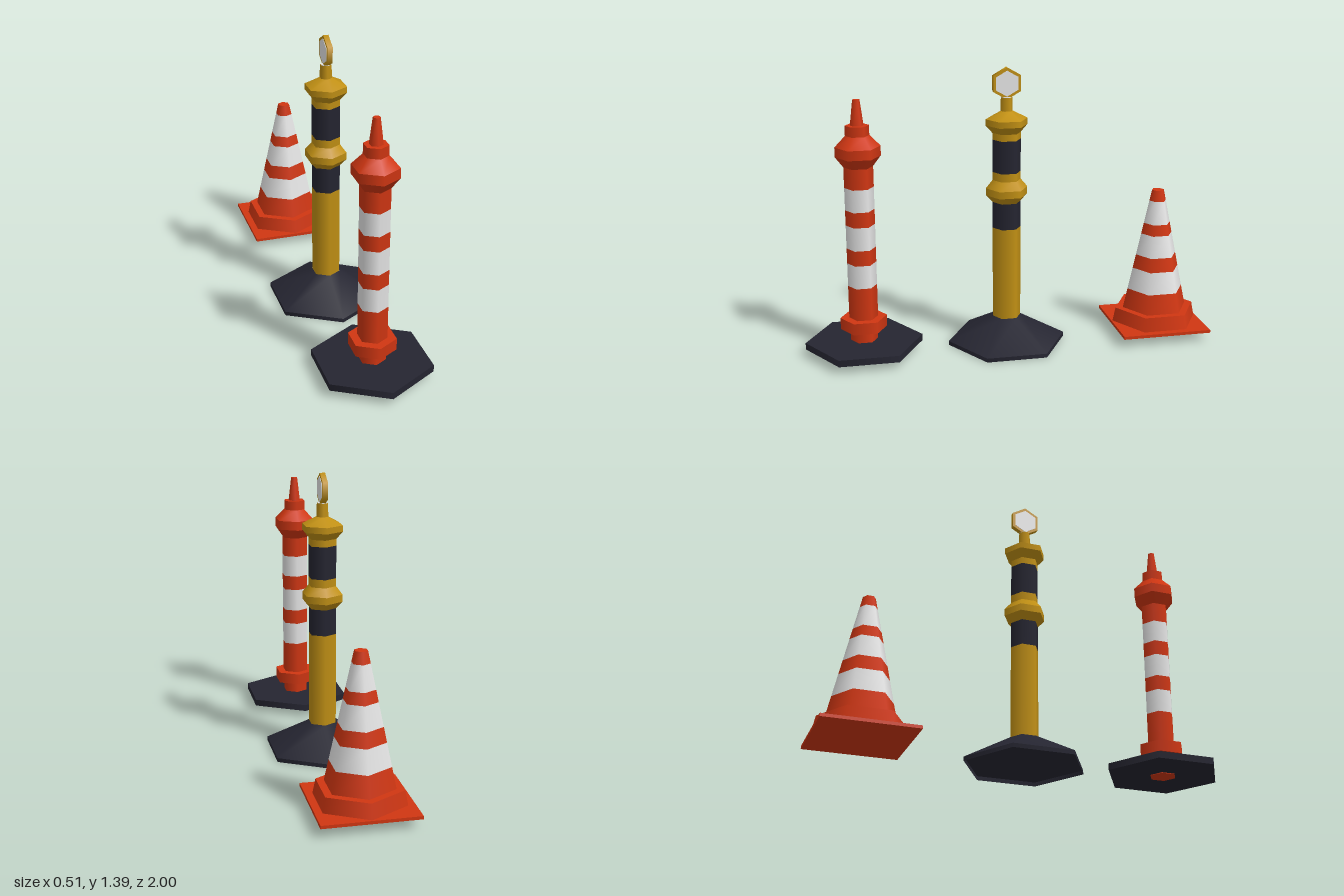
import * as THREE from 'three';

const mat = (name, color, side = THREE.FrontSide) => {
  const m = new THREE.MeshStandardMaterial({ color, side });
  m.name = name;
  return m;
};

export function createModel() {
  const orange = mat('orange plastic', 0xd03612);
  const yellow = mat('yellow plastic', 0xc19014);
  const dark = mat('dark rubber', 0x252531, THREE.DoubleSide);
  const white = mat('reflective white', 0xe6e6e6);

  const add = (group, name, geometry, material, y = 0) => {
    const m = new THREE.Mesh(geometry, material);
    m.name = name;
    m.position.y = y;
    group.add(m);
    return m;
  };

  // Six-sided section from (r0, y0) up to (r1, y1)
  const hex = (group, name, material, r0, y0, r1, y1, open = true) =>
    add(group, name, new THREE.CylinderGeometry(r1, r0, y1 - y0, 6, 1, open), material, (y0 + y1) / 2);

  // Chain of [radius, y] points as separate sections with crisp rings
  const chain = (group, name, material, pts) => {
    for (let i = 1; i < pts.length; i++) {
      hex(group, name, material, ...pts[i - 1], ...pts[i], i === pts.length - 1 ? false : true);
    }
  };

  // Stacked colour bands; radius given as a function of height
  const bands = (group, name, heights, colours, radius) => {
    colours.forEach((c, i) =>
      hex(group, name, c, radius(heights[i]), heights[i], radius(heights[i + 1]), heights[i + 1]));
  };

  const model = new THREE.Group();
  model.name = 'trafficMarkers';
  const part = (name, z) => {
    const g = new THREE.Group();
    g.name = name;
    g.position.z = z;
    model.add(g);
    return g;
  };

  // Tall orange delineator on a flat base
  const post = part('delineatorPost', 0.713);
  hex(post, 'basePlate', dark, 0.286, 0.037, 0.286, 0.07, false);
  hex(post, 'foot', orange, 0.066, 0.034, 0.066, 0.14, false);
  hex(post, 'collar', orange, 0.113, 0.13, 0.113, 0.187, false);
  bands(post, 'postBand', [0.187, 0.35, 0.465, 0.54, 0.655, 0.73, 0.84, 0.94],
    [orange, white, orange, white, orange, white, orange], () => 0.07);
  chain(post, 'head', orange, [[0.07, 0.94], [0.108, 0.99], [0.108, 1.037], [0.057, 1.09], [0.057, 1.138]]);
  hex(post, 'tip', orange, 0.032, 1.138, 0.017, 1.26, false);

  // Yellow bollard on a hollow sloped base
  const bollard = part('bollard', 0);
  hex(bollard, 'baseRim', dark, 0.295, 0, 0.295, 0.02);
  hex(bollard, 'baseSlope', dark, 0.295, 0.02, 0.072, 0.14);
  hex(bollard, 'shaft', yellow, 0.07, 0.13, 0.07, 0.6, false);
  hex(bollard, 'lowerBand', dark, 0.07, 0.6, 0.07, 0.73);
  chain(bollard, 'bulge', yellow, [[0.07, 0.73], [0.103, 0.765], [0.103, 0.8], [0.07, 0.84], [0.07, 0.88]]);
  hex(bollard, 'upperBand', dark, 0.07, 0.88, 0.07, 1.04);
  chain(bollard, 'topFlare', yellow,
    [[0.07, 1.04], [0.07, 1.073], [0.103, 1.11], [0.103, 1.14], [0.03, 1.178], [0.028, 1.243]]);
  hex(bollard, 'neckCap', white, 0.026, 1.243, 0.026, 1.246, false);

  // Upright reflector facing both sides
  const disc = (name, material, radius, width) => {
    const g = new THREE.CylinderGeometry(radius, radius, width, 6);
    g.rotateY(Math.PI / 2).rotateZ(Math.PI / 2);
    return add(bollard, name, g, material, 1.31);
  };
  disc('reflectorFrame', yellow, 0.077, 0.026);
  for (const s of [-1, 1]) disc('reflectorLens', white, 0.062, 0.004).position.x = s * 0.013;

  // Striped cone on a square foot
  const cone = part('trafficCone', -0.775);
  add(cone, 'squareFoot', new THREE.BoxGeometry(0.45, 0.015, 0.45), orange, 0.0525);
  hex(cone, 'coneCollar', orange, 0.219, 0.06, 0.205, 0.13, false);
  const taper = y => THREE.MathUtils.mapLinear(y, 0.13, 0.745, 0.166, 0.031);
  bands(cone, 'coneBand', [0.13, 0.23, 0.34, 0.41, 0.52, 0.575, 0.69],
    [orange, white, orange, white, orange, white], taper);
  hex(cone, 'coneTop', orange, taper(0.69), 0.69, taper(0.745), 0.745, false);

  return model;
}
